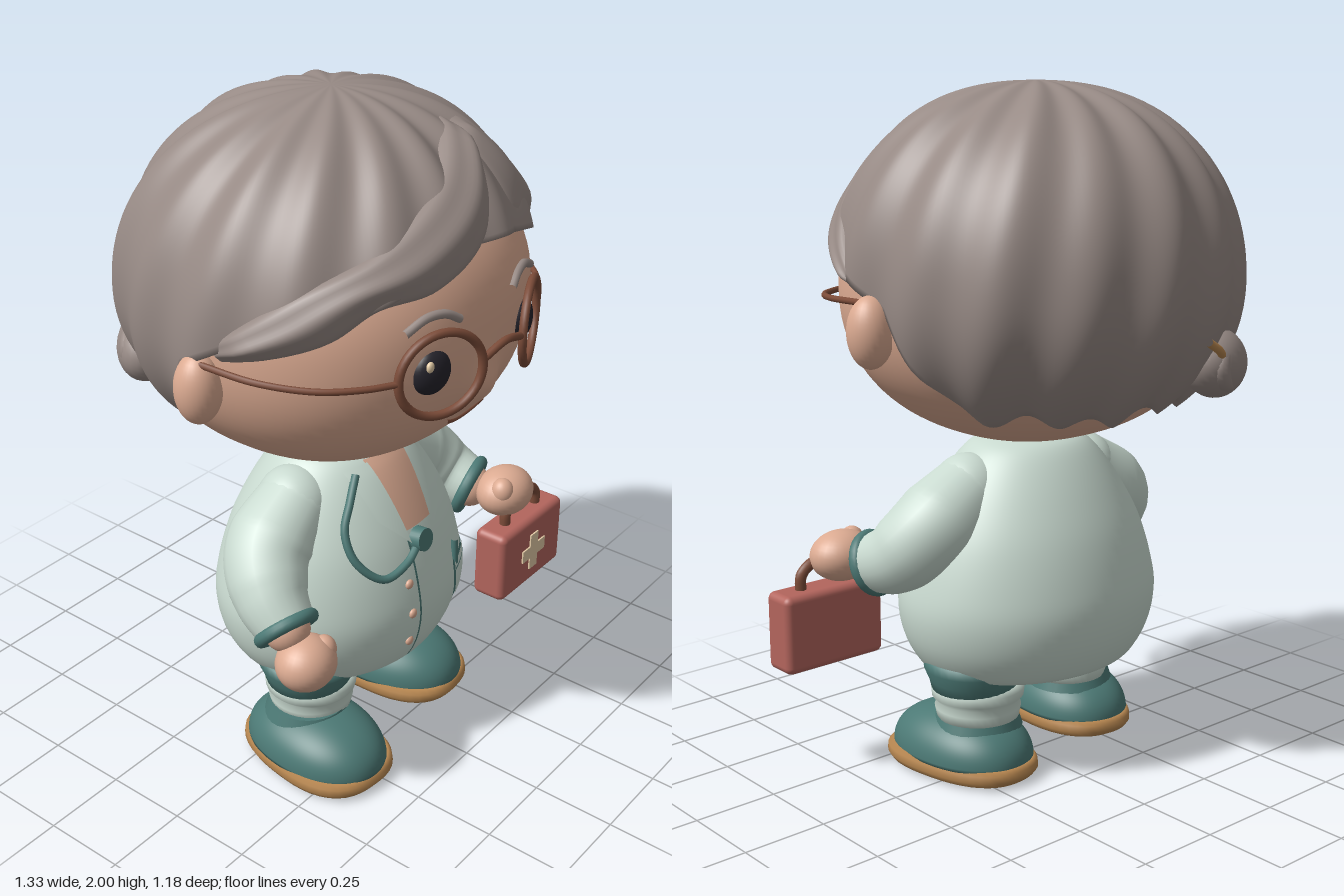
import * as THREE from 'three';
import { mergeVertices } from 'three/addons/utils/BufferGeometryUtils.js';
import { RoundedBoxGeometry } from 'three/addons/geometries/RoundedBoxGeometry.js';

const V = (x, y, z = 0) => new THREE.Vector3(x, y, z);
const mat = (name, color) => Object.assign(new THREE.MeshStandardMaterial({ color }), { name });

// Merge seams and shade smoothly
function smooth(g) {
  g.deleteAttribute('uv');
  g.deleteAttribute('normal');
  g = mergeVertices(g, 1e-5);
  g.computeVertexNormals();
  return g;
}

// Surface patch: u runs right, v runs down, facing the viewer
function gridGeo(nu, nv, fn) {
  const pos = [], idx = [];
  for (let j = 0; j <= nv; j++) for (let i = 0; i <= nu; i++) {
    pos.push(...fn(i / nu, j / nv).toArray());
    if (i < nu && j < nv) {
      const a = j * (nu + 1) + i, b = a + nu + 1;
      idx.push(a, b, a + 1, b, b + 1, a + 1);
    }
  }
  const g = new THREE.BufferGeometry();
  g.setAttribute('position', new THREE.Float32BufferAttribute(pos, 3));
  g.setIndex(idx);
  return smooth(g);
}

// Rounded, slightly boxy ellipsoid with separate up/down/front/back reach
const radius = (d, A) => Math.pow(
  Math.pow(Math.abs(d.x) / A.x, A.n) + Math.pow(Math.abs(d.y) / (d.y > 0 ? A.up : A.down), A.n)
  + Math.pow(Math.abs(d.z) / (d.z > 0 ? A.f : A.b), A.n), -1 / A.n);
function blob(A, bump = () => 0) {
  const g = new THREE.SphereGeometry(1, 88, 60), p = g.attributes.position, v = V(0, 0);
  for (let i = 0; i < p.count; i++) {
    v.fromBufferAttribute(p, i).normalize();
    v.multiplyScalar(radius(v, A));
    p.setXYZ(i, v.x, v.y, v.z + bump(v));
  }
  return smooth(g);
}
const frontZ = (x, y, A) => {
  const r = 1 - Math.pow(Math.abs(x) / A.x, A.n) - Math.pow(Math.abs(y) / (y > 0 ? A.up : A.down), A.n);
  return A.f * Math.pow(Math.max(r, 0), 1 / A.n);
};
const HEAD = { x: 0.552, up: 0.42, down: 0.445, f: 0.525, b: 0.49, n: 2.22 }, HEAD_Y = 1.43;
const HAIR = { x: 0.573, up: 0.545, down: 0.47, f: 0.53, b: 0.572, n: 2.12 }, HAIR_Y = 1.45;
const faceZ = (x, y) => frontZ(x, y - HEAD_Y, HEAD);

// Coat silhouette and its front surface
const DEPTH = 0.82;
const profile = new THREE.SplineCurve([[0.29, 0.3], [0.345, 0.32], [0.395, 0.4], [0.415, 0.5], [0.4, 0.6],
  [0.36, 0.72], [0.3, 0.83], [0.235, 0.92], [0.18, 0.97], [0.12, 0.99]].map(p => new THREE.Vector2(...p))).getPoints(50);
function coatZ(x, y) {
  const k = Math.max(1, profile.findIndex(p => p.y > y)), a = profile[k - 1], b = profile[k];
  const r = a.x + (b.x - a.x) * (y - a.y) / (b.y - a.y);
  return 0.03 + DEPTH * Math.sqrt(Math.max(0, r * r - x * x));
}

// Lower hair edge as polar angle, by azimuth from the front
const HEM = [[0, 65], [20, 68], [45, 77], [80, 88], [93, 95], [102, 110], [111, 121], [120, 127], [150, 130], [181, 130]];
function hemAngle(phi) {
  const d = Math.abs(THREE.MathUtils.radToDeg(phi));
  const k = HEM.findIndex(h => h[0] > d), [a, b] = [HEM[k - 1], HEM[k]];
  return a[1] + (b[1] - a[1]) * (d - a[0]) / (b[0] - a[0]);
}

export function createModel() {
  const skin = mat('skin', 0xdcab92), hairM = mat('hair', 0x978a85), coat = mat('coat', 0xcadbd1),
    teal = mat('teal', 0x4c7975), red = mat('caseRed', 0xb3655d), sole = mat('sole', 0xb98851),
    frame = mat('glassesBrown', 0x7c4c39), dark = mat('eyeBlack', 0x25232b), cream = mat('cream', 0xe3cba6);
  const model = new THREE.Group(), body = new THREE.Group();
  body.name = 'doctor';
  body.position.x = -0.03;
  model.add(body);

  const add = (name, geo, m, p = [0, 0, 0], parent = body) => {
    const mesh = new THREE.Mesh(geo, m);
    mesh.name = name;
    mesh.position.set(...p);
    parent.add(mesh);
    return mesh;
  };
  const ball = (name, m, p, s) => {
    const mesh = add(name, new THREE.SphereGeometry(1, 28, 20), m, p);
    mesh.scale.set(...s);
    return mesh;
  };
  const tube = (name, pts, r, m) =>
    add(name, new THREE.TubeGeometry(new THREE.CatmullRomCurve3(pts), 40, r, 10), m);
  // Thin plate lying on the coat: corners top left, top right, bottom right, bottom left
  const patch = (name, [a, b, c, d], off, m) => add(name, gridGeo(8, 12, (u, v) => {
    const x = (a[0] * (1 - u) + b[0] * u) * (1 - v) + (d[0] * (1 - u) + c[0] * u) * v;
    const y = (a[1] * (1 - u) + b[1] * u) * (1 - v) + (d[1] * (1 - u) + c[1] * u) * v;
    return V(x, y, coatZ(x, y) + off);
  }), m);
  const rect = (x0, x1, y0, y1) => [[x0, y1], [x1, y1], [x1, y0], [x0, y0]];

  // Head with a soft nose, and the face
  add('head', blob(HEAD, v => v.z > 0 ? 0.04 * Math.exp(-((v.x / 0.06) ** 2) - ((v.y + 0.15) / 0.065) ** 2) : 0),
    skin, [0, HEAD_Y, 0]);
  tube('mouth', [-0.085, -0.045, 0, 0.045, 0.085].map(x => {
    const y = 1.165 + 3.2 * x * x;
    return V(x, y, faceZ(x, y) + 0.003);
  }), 0.006, frame);
  for (const s of [-1, 1]) {
    ball('ear', skin, [s * 0.57, 1.345, 0.02], [0.065, 0.1, 0.065]);
    ball('eye', dark, [s * 0.206, 1.395, 0.487], [0.06, 0.063, 0.035]).rotation.y = s * 0.3;
    ball('eyeGlint', cream, [s * 0.206 - 0.03, 1.425, s > 0 ? 0.52 : 0.507], [0.013, 0.015, 0.009]);
    tube('eyebrow', [[0.12, 1.52], [0.165, 1.545], [0.22, 1.548], [0.285, 1.52]].map(([x, y]) =>
      V(s * x, y, faceZ(x, y) + 0.004)), 0.012, hairM);
    const rim = add('glassesRim', new THREE.TorusGeometry(0.116, 0.012, 10, 48), frame, [s * 0.206, 1.397, 0.52]);
    rim.rotation.y = s * 0.42;
    rim.scale.x = 1.07;
    tube('glassesTemple', [V(s * 0.325, 1.4, 0.468), V(s * 0.4, 1.402, 0.425), V(s * 0.49, 1.407, 0.345),
      V(s * 0.562, 1.417, 0.21), V(s * 0.586, 1.425, 0.04)], 0.009, frame);
  }
  tube('glassesBridge', [V(-0.088, 1.41, 0.568), V(0, 1.432, 0.576), V(0.088, 1.41, 0.568)], 0.011, frame);

  // Hair cap with soft swirling ridges, tucked under at the hem
  const wave = (phi, th) => Math.cos(15 * phi + 2.6 * th) + 0.45 * Math.cos(7 * phi + 1.8 * th + 1);
  add('hair', gridGeo(216, 44, (u, v) => {
    const phi = (u - 0.5) * Math.PI * 2, tuck = v > 0.98, t = Math.min(1, v * 44 / 43);
    const back = THREE.MathUtils.smoothstep(Math.abs(phi), 1.6, 2.2);
    const th = t * THREE.MathUtils.degToRad(hemAngle(phi) + 2 * back * wave(phi, 2));
    const d = V(Math.sin(th) * Math.sin(phi), Math.cos(th), Math.sin(th) * Math.cos(phi));
    const r = radius(d, HAIR) + 0.005 + 0.01 * wave(phi, th) * THREE.MathUtils.smoothstep(th, 0, 0.8);
    return d.multiplyScalar(r * (tuck ? 0.87 : 1));
  }), hairM, [0, HAIR_Y, 0]);

  // Swept fringe locks between an upper and a lower edge
  const lock = (name, top, bottom, lift) => {
    const edge = pts => new THREE.CatmullRomCurve3(pts.map(([x, y]) => V(x, y - HAIR_Y, frontZ(x, y - HAIR_Y, HAIR))));
    const a = edge(top), b = edge(bottom);
    add(name, gridGeo(48, 18, (u, v) => {
      const d = a.getPoint(u).lerp(b.getPoint(u), v).normalize();
      const bulge = Math.sqrt(Math.sin(Math.PI * v) + 1e-6) * Math.min(1, 0.35 + 3 * Math.sin(Math.PI * u));
      return d.multiplyScalar(radius(d, HAIR) - 0.025 + lift * bulge + 0.004 * Math.sin(v * 14) * bulge);
    }), hairM, [0, HAIR_Y, 0]);
  };
  lock('fringeRight', [[-0.57, 1.48], [-0.49, 1.63], [-0.33, 1.72], [-0.095, 1.83], [0.17, 1.94]],
    [[-0.566, 1.43], [-0.44, 1.515], [-0.34, 1.585], [-0.17, 1.605], [0.04, 1.69], [0.18, 1.87]], 0.06);
  lock('fringeLeft', [[0.16, 1.94], [0.38, 1.78], [0.51, 1.62], [0.57, 1.47]],
    [[0.13, 1.88], [0.22, 1.67], [0.4, 1.575], [0.566, 1.44]], 0.05);

  // Low bun with the tip of a pin
  const bun = ball('bun', hairM, [-0.28, 1.225, -0.445], [0.135, 0.1, 0.09]);
  bun.rotation.set(0, 0.5, 0.2);
  const coil = add('bunCoil', new THREE.TorusGeometry(0.06, 0.03, 12, 32), hairM, [-0.295, 1.225, -0.48]);
  coil.rotation.y = 0.5;
  coil.scale.set(1.3, 0.9, 1);
  tube('hairPin', [V(-0.14, 1.31, -0.55), V(-0.19, 1.28, -0.545), V(-0.25, 1.24, -0.5)], 0.012, sole);

  // Coat
  const torso = add('coat', smooth(new THREE.LatheGeometry(
    [new THREE.Vector2(0, 0.31), ...profile, new THREE.Vector2(0, 0.995)], 64)), coat, [0, 0, 0.03]);
  torso.scale.z = DEPTH;
  patch('chest', [[-0.08, 0.965], [0.085, 0.965], [0.07, 0.765], [-0.055, 0.765]], 0.006, skin);
  patch('lapelRight', [[-0.15, 0.95], [-0.075, 0.96], [-0.045, 0.73], [-0.13, 0.82]], 0.01, coat);
  patch('lapelLeft', [[0.08, 0.96], [0.15, 0.95], [0.17, 0.8], [0.06, 0.73]], 0.01, coat);
  patch('frontSeam', rect(-0.053, -0.046, 0.34, 0.74), 0.003, teal);
  for (const y of [0.615, 0.52, 0.42]) ball('button', skin, [-0.08, y, coatZ(0.08, y)], [0.015, 0.015, 0.01]);
  patch('pocketEdge', rect(0.143, 0.272, 0.453, 0.577), 0.004, teal);
  patch('pocket', rect(0.15, 0.265, 0.46, 0.57), 0.008, coat);
  patch('pocketTrim', rect(0.15, 0.265, 0.545, 0.55), 0.009, teal);
  tube('pen', [V(0.163, 0.56, coatZ(0.163, 0.56)), V(0.165, 0.64, coatZ(0.165, 0.64) + 0.015)], 0.011, teal);

  // Stethoscope
  tube('stethoscopeTube', [[-0.125, 0.94], [-0.175, 0.88], [-0.22, 0.81], [-0.225, 0.73], [-0.165, 0.665], [-0.08, 0.685], [-0.03, 0.715]]
    .map(([x, y]) => V(x, y, coatZ(x, y) + 0.01)), 0.012, teal);
  const disc = add('stethoscopeDisc', new THREE.CylinderGeometry(0.034, 0.036, 0.035, 28), teal, [-0.01, 0.73, coatZ(0, 0.73) + 0.014]);
  disc.rotation.x = 1.4;

  // Sleeves, cuffs and hands
  const arm = (pts, radii, hand, size) => {
    const curve = new THREE.CatmullRomCurve3(pts.map(p => V(...p))), n = 28, seg = 22;
    const g = new THREE.TubeGeometry(curve, n, 1, seg), p = g.attributes.position, v = V(0, 0);
    for (let i = 0; i < p.count; i++) {
      const t = Math.floor(i / (seg + 1)) / n, f = t * (radii.length - 1), k = Math.min(Math.floor(f), radii.length - 2);
      const c = curve.getPointAt(t);
      v.fromBufferAttribute(p, i).sub(c).multiplyScalar(radii[k] + (radii[k + 1] - radii[k]) * (f - k)).add(c);
      p.setXYZ(i, v.x, v.y, v.z);
    }
    add('sleeve', smooth(g), coat);
    ball('shoulder', coat, pts[0], [radii[0], radii[0], radii[0]]);
    const end = curve.getPointAt(1), r = radii.at(-1);
    const cuff = add('cuff', new THREE.TorusGeometry(r * 0.93, 0.02, 12, 32), teal, end.toArray());
    cuff.lookAt(end.clone().add(curve.getTangentAt(1)));
    ball('wrist', skin, end.toArray(), [r * 0.8, r * 0.8, r * 0.8]);
    ball('hand', skin, hand, size);
    ball('thumb', skin, [hand[0] * 0.89, hand[1] + 0.03, hand[2] + 0.025], [0.036, 0.042, 0.036]);
  };
  arm([[0.22, 0.845, 0.04], [0.36, 0.75, 0.045], [0.43, 0.67, 0.11], [0.45, 0.64, 0.19]],
    [0.11, 0.128, 0.115, 0.085], [0.485, 0.645, 0.3], [0.1, 0.075, 0.085]);
  arm([[-0.22, 0.845, 0.04], [-0.36, 0.74, 0.055], [-0.42, 0.66, 0.12], [-0.44, 0.595, 0.19]],
    [0.11, 0.128, 0.115, 0.085], [-0.44, 0.51, 0.26], [0.092, 0.08, 0.085]);

  // Legs, rolled trouser cuffs and shoes
  for (const s of [-1, 1]) {
    const z = s > 0 ? 0.01 : 0.09, x = s * 0.215;
    add('trouserLeg', smooth(new THREE.LatheGeometry([[0, 0.25], [0.125, 0.25], [0.135, 0.29], [0.15, 0.325], [0.147, 0.352],
      [0.1, 0.365], [0, 0.365]].map(p => new THREE.Vector2(...p)), 36)), teal, [s * 0.226, 0, z]);
    add('legCuff', new THREE.LatheGeometry([[0.1, 0.16], [0.122, 0.17], [0.128, 0.2], [0.122, 0.22], [0.136, 0.235],
      [0.139, 0.26], [0.127, 0.278], [0.09, 0.28]].map(p => new THREE.Vector2(...p)), 36), coat, [x, 0, z]);
    const shoe = new THREE.Group();
    shoe.name = 'shoe';
    shoe.position.set(s > 0 ? 0.23 : -0.252, 0, z + 0.05);
    shoe.rotation.y = s * 0.1;
    body.add(shoe);
    // Sole outline: a boxy oval, wider at the toe, with rounded rims
    const g = new THREE.LatheGeometry([[0, 0], [0.5, 0.001], [0.85, 0.003], [0.95, 0.01], [1, 0.026], [0.99, 0.046],
      [0.94, 0.058], [0, 0.06]].map(p => new THREE.Vector2(...p)), 48), p = g.attributes.position;
    for (let i = 0; i < p.count; i++) {
      const a = p.getX(i), b = p.getZ(i);
      const k = Math.hypot(a, b) / (Math.pow(Math.abs(a) ** 2.5 + Math.abs(b) ** 2.5, 0.4) || 1);
      p.setX(i, a * k * 0.168 * (1 + 0.08 * b));
      p.setZ(i, b * k * 0.246);
    }
    add('shoeSole', smooth(g), sole, [0, 0, 0], shoe);
    add('shoeUpper', blob({ x: 0.164, up: 0.135, down: 0.01, f: 0.238, b: 0.232, n: 2.2 }), teal, [0, 0.05, 0], shoe);
    add('shoeAnkle', new THREE.CylinderGeometry(0.118, 0.135, 0.05, 32), teal, [s * -0.012, 0.16, -0.045], shoe);
  }

  // First aid case
  const kit = new THREE.Group();
  kit.name = 'firstAidCase';
  kit.position.set(0.525, 0.44, 0.335);
  body.add(kit);
  add('caseBody', new RoundedBoxGeometry(0.338, 0.235, 0.112, 4, 0.022), red, [0, 0, 0], kit);
  add('crossBar', new THREE.BoxGeometry(0.125, 0.042, 0.008), cream, [0, 0, 0.057], kit);
  add('crossPost', new THREE.BoxGeometry(0.042, 0.125, 0.008), cream, [0, 0, 0.057], kit);
  add('caseHandle', new THREE.TubeGeometry(new THREE.CatmullRomCurve3([V(-0.085, 0.11), V(-0.08, 0.16), V(-0.04, 0.19),
    V(0.04, 0.19), V(0.08, 0.16), V(0.085, 0.11)]), 30, 0.017, 10), frame, [0, 0, 0], kit);
  return model;
}
